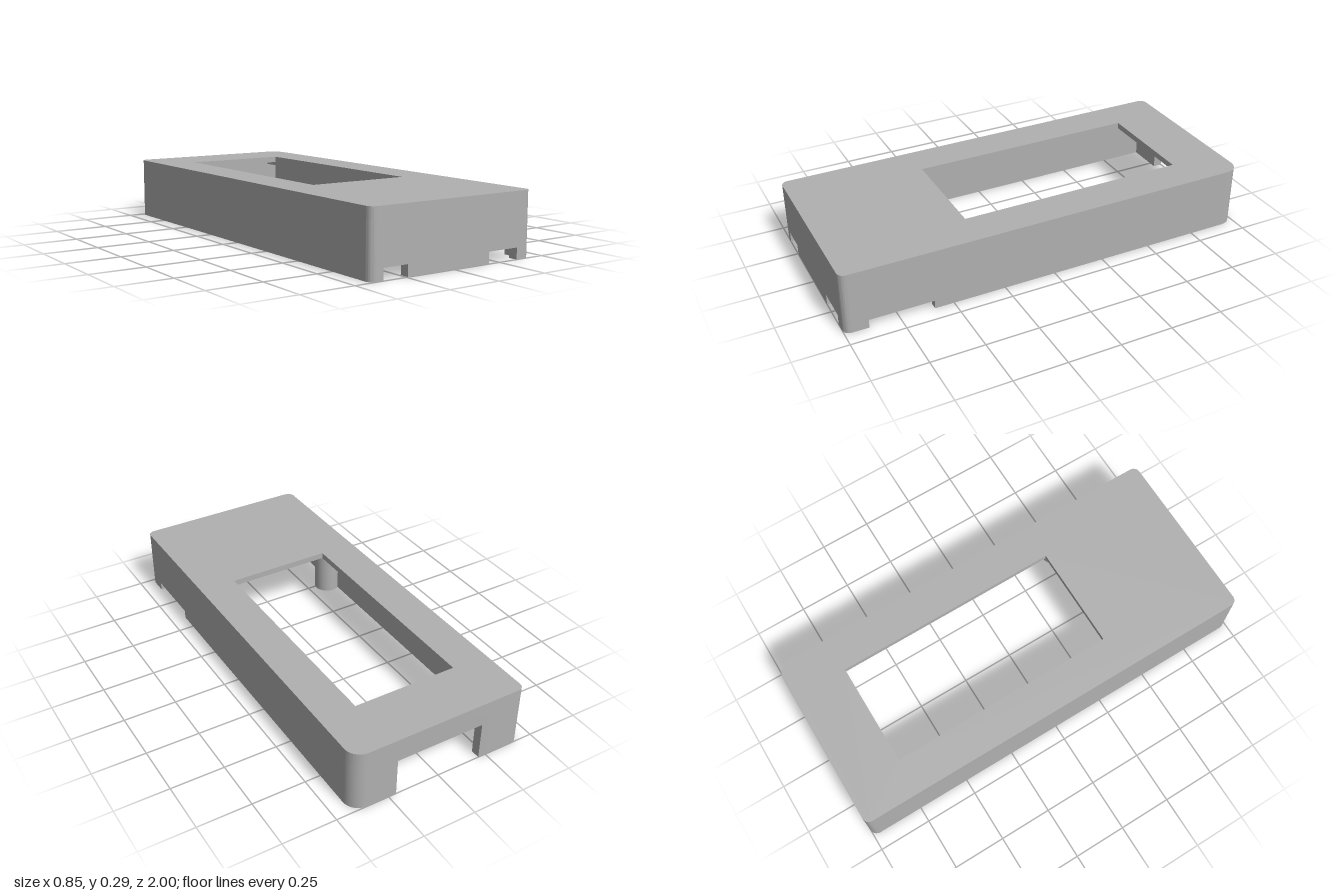
import * as THREE from 'three';
import { toCreasedNormals } from 'three/addons/utils/BufferGeometryUtils.js';

const W = 0.427, L = 1, H = 0.293;        // half width, half length, height
const IX = 0.39, IZ = 0.956;              // inner faces of the walls
const CEIL = 0.24, LIP = 0.264;           // ceiling and thin lip around the window
const R = 0.033, R_BIG = 0.072;           // corner radii

export function createModel() {
  const group = new THREE.Group();
  const grey = new THREE.MeshStandardMaterial({ color: 0xb0b0b0 });
  grey.name = 'grey plastic';

  const add = (name, geometry) => {
    const mesh = new THREE.Mesh(geometry, grey);
    mesh.name = name;
    group.add(mesh);
    return mesh;
  };

  // Extrudes a plan shape (drawn with y = -z) between two heights
  const slab = (name, shape, y0, y1) => {
    const g = new THREE.ExtrudeGeometry(shape, { depth: y1 - y0, bevelEnabled: false, curveSegments: 12 });
    g.rotateX(-Math.PI / 2).translate(0, y0, 0);
    add(name, toCreasedNormals(g, 0.5));
  };

  const block = (name, x0, x1, y0, y1, z0, z1) =>
    add(name, new THREE.BoxGeometry(x1 - x0, y1 - y0, z1 - z0))
      .position.set((x0 + x1) / 2, (y0 + y1) / 2, (z0 + z1) / 2);

  // Rounded outline with a rectangular hole; the back left corner is rounder
  const plate = (hx, zBack, zFront) => {
    const s = new THREE.Shape();
    s.moveTo(-W + R, -L);
    s.lineTo(W - R, -L);
    s.absarc(W - R, -L + R, R, -Math.PI / 2, 0);
    s.lineTo(W, L - R_BIG);
    s.absarc(W - R_BIG, L - R_BIG, R_BIG, 0, Math.PI / 2);
    s.lineTo(-W + R, L);
    s.absarc(-W + R, L - R, R, Math.PI / 2, Math.PI);
    s.lineTo(-W, -L + R);
    s.absarc(-W + R, -L + R, R, Math.PI, Math.PI * 1.5);
    const hole = new THREE.Path();
    hole.moveTo(-hx, -zFront);
    hole.lineTo(-hx, -zBack);
    hole.lineTo(hx, -zBack);
    hole.lineTo(hx, -zFront);
    hole.closePath();
    s.holes.push(hole);
    return s;
  };

  // Top: thin lip at the window, with a wider display recess beneath
  slab('topPlate', plate(0.25, -0.735, 0.36), LIP, H);
  slab('displayRecess', plate(0.28, -0.865, 0.49), CEIL, LIP);

  // L-shaped corner walls reaching in to x = ex and z = ez
  const corner = (name, sx, sz, r, ex, ez) => {
    const s = new THREE.Shape();
    const p = (x, z) => [sx * x, -sz * z];
    s.moveTo(...p(ex, IZ));
    s.lineTo(...p(ex, L));
    s.lineTo(...p(W - r, L));
    for (let i = 1; i <= 12; i++) {
      const a = (i / 12) * Math.PI / 2;
      s.lineTo(...p(W - r + r * Math.sin(a), L - r + r * Math.cos(a)));
    }
    s.lineTo(...p(W, ez));
    s.lineTo(...p(IX, ez));
    s.lineTo(...p(IX, IZ));
    slab(name, s, 0, CEIL);
  };
  corner('frontLeftCorner', 1, 1, R, 0.35, 0.89);
  corner('frontRightCorner', -1, 1, R, 0.365, 0.8);
  corner('backLeftCorner', 1, -1, R_BIG, 0.213, 0.8);
  corner('backRightCorner', -1, -1, R, 0.213, 0.8);

  // Front wall with two notches
  block('frontRightNotchTop', -0.365, -0.243, 0.052, CEIL, IZ, L);
  block('frontWall', -0.243, 0.19, 0, CEIL, IZ, L);
  block('frontLeftNotchTop', 0.19, 0.35, 0.052, CEIL, IZ, L);

  // Side walls, the left one with a notch
  block('leftNotchTop', IX, W, 0.04, CEIL, 0.59, 0.89);
  block('leftWall', IX, W, 0, CEIL, -0.8, 0.59);
  block('rightWall', -W, -IX, 0, CEIL, -0.8, 0.8);

  // Back wall above its wide opening
  block('backLintel', -0.213, 0.213, 0.182, CEIL, -L, -IZ);

  // Screw posts with a counterbored hole
  const profile = [[0, 0.15], [0.029, 0.15], [0.029, 0.025], [0.04, 0.025], [0.04, 0], [0.063, 0], [0.063, CEIL]]
    .map(([x, y]) => new THREE.Vector2(x, y));
  const post = toCreasedNormals(new THREE.LatheGeometry(profile, 32), 0.5);
  for (const [x, z] of [[-0.354, 0.485], [0.354, 0.485], [0, 0.918]])
    add('screwPost', post).position.set(x, 0, z);

  return group;
}
